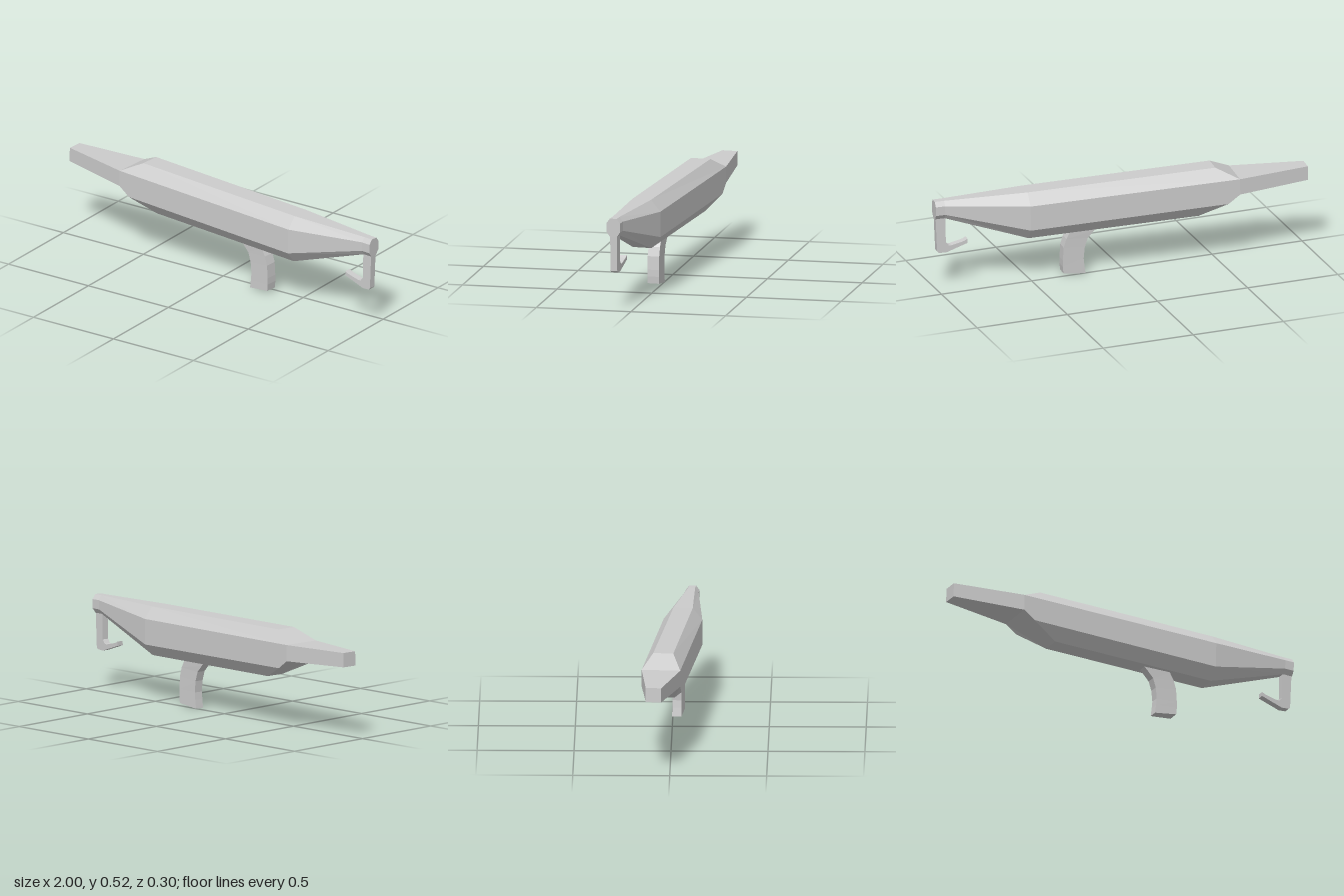
import * as THREE from 'three';

const material = new THREE.MeshStandardMaterial({ color: 0xcccccc, flatShading: true });

// Skin a series of equal-length rings and close both ends.
function loft(rings) {
  const pos = [];
  const tri = (...pts) => pts.forEach((p) => pos.push(...p));
  const n = rings[0].length;
  for (let s = 0; s + 1 < rings.length; s++) {
    const a = rings[s], b = rings[s + 1];
    for (let i = 0; i < n; i++) {
      const j = (i + 1) % n;
      tri(a[i], a[j], b[j]);
      tri(a[i], b[j], b[i]);
    }
  }
  const first = rings[0], last = rings[rings.length - 1];
  for (let i = 1; i + 1 < n; i++) {
    tri(first[0], first[i + 1], first[i]);
    tri(last[0], last[i], last[i + 1]);
  }
  const geometry = new THREE.BufferGeometry();
  geometry.setAttribute('position', new THREE.Float32BufferAttribute(pos, 3));
  geometry.computeVertexNormals();
  return geometry;
}

function addPart(parent, name, geometry) {
  const mesh = new THREE.Mesh(geometry, material);
  mesh.name = name;
  parent.add(mesh);
  return mesh;
}

// Eight-sided ring from four [x, y, halfWidth] corners, top to bottom, mirrored in z.
function octagon(corners) {
  const front = corners.map(([x, y, w]) => [x, y, w]);
  const back = corners.map(([x, y, w]) => [x, y, -w]).reverse();
  return [...front, ...back];
}

export function createModel() {
  const group = new THREE.Group();
  const tilted = new THREE.Group();
  tilted.name = 'tiltedAssembly';
  tilted.rotation.set(0, -0.088, -0.021, 'YXZ');
  tilted.position.z = 0.003;
  group.add(tilted);

  // Body: flat tapering tail, faceted long hull, slim nose
  const straight = (x, rows) => octagon(rows.map(([y, w]) => [x, y, w]));
  const noseRows = [[0.509, 0.018], [0.485, 0.036], [0.437, 0.036], [0.412, 0.018]];
  const box = (x, top, bottom, w) => straight(x, [[top, w], [top, w], [bottom, w], [bottom, w]]);
  addPart(tilted, 'body', loft([
    box(-1.0, 0.444, 0.369, 0.04),
    box(-0.617, 0.447, 0.362, 0.1),
    octagon([[-0.5, 0.509, 0.052], [-0.617, 0.447, 0.1], [-0.553, 0.318, 0.1], [-0.405, 0.253, 0.05]]),
    straight(0.51, [[0.508, 0.05], [0.448, 0.1], [0.314, 0.1], [0.253, 0.05]]),
    straight(0.95, noseRows),
    straight(1.0, noseRows),
  ]));

  // Nose hook: upright bar with a prong turned back toward the grip
  const hookShape = new THREE.Shape([
    [0.945, 0.45], [0.945, 0.278], [0.93, 0.258], [0.915, 0.256], [0.848, 0.271], [0.828, 0.281],
    [0.828, 0.258], [0.945, 0.22], [0.985, 0.223], [0.993, 0.232], [0.998, 0.45],
  ].map(([x, y]) => new THREE.Vector2(x, y)));
  const hook = new THREE.ExtrudeGeometry(hookShape, { depth: 0.036, bevelEnabled: false });
  hook.translate(0, 0, -0.018);
  addPart(tilted, 'noseHook', hook);

  // Curved grip, slightly narrower along its inner edge
  const gripStations = [ // inner x, y, outer x, y
    [0.105, 0.28, 0.245, 0.29],
    [0.15, 0.237, 0.28, 0.25],
    [0.185, 0.2, 0.302, 0.212],
    [0.202, 0.15, 0.317, 0.165],
    [0.209, 0.09, 0.323, 0.095],
    [0.206, 0.052, 0.324, 0.06],
    [0.201, 0.006, 0.321, 0.023],
  ];
  addPart(tilted, 'grip', loft(gripStations.map(([ix, iy, ox, oy]) => [
    [ox, oy, -0.031], [ox, oy, 0.031], [ix, iy, 0.024], [ix, iy, -0.024],
  ])));

  return group;
}
